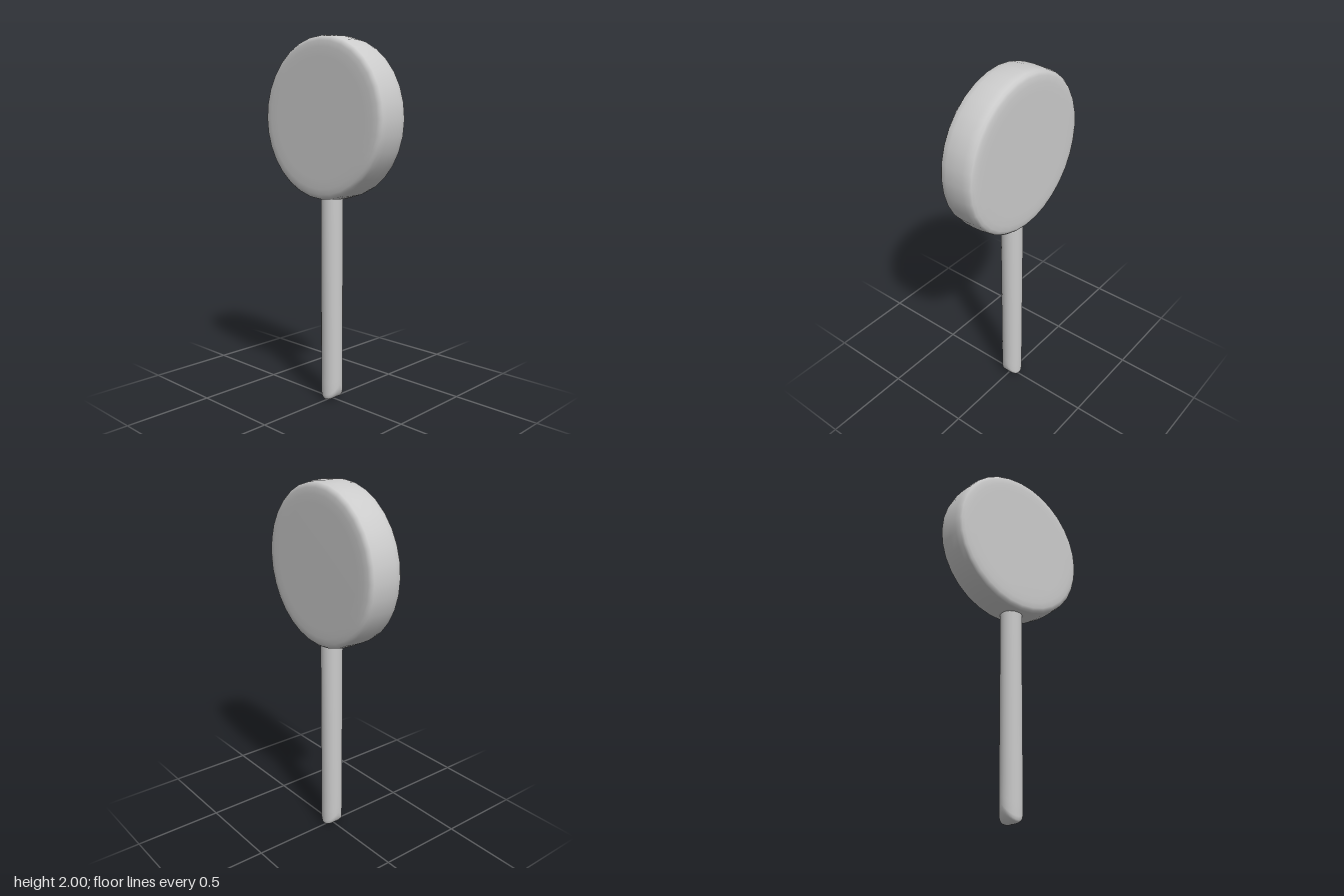
import * as THREE from 'three';
import { mergeVertices } from 'three/addons/utils/BufferGeometryUtils.js';

const material = new THREE.MeshStandardMaterial({ color: 0xcccccc });

const lathe = (points, segments) =>
  new THREE.LatheGeometry(points.map(([r, y]) => new THREE.Vector2(r, y)), segments);

// Round head: a thick disc with softened rims, facing front and back
function makeHead() {
  const half = [[0, 0.103], [0.32, 0.103], [0.37, 0.102], [0.4, 0.099], [0.415, 0.093], [0.425, 0.082], [0.43, 0.05]];
  const profile = [
    ...half.map(([r, y]) => [r, -y]),
    [0.432, 0],
    ...half.slice().reverse(),
  ];
  const geometry = lathe(profile, 32).rotateX(Math.PI / 2);
  const head = new THREE.Mesh(geometry, material);
  head.name = 'discHead';
  head.position.y = 1.568;
  return head;
}

// Stick: a round rod whose lower end is rounded across x but straight along z
function makeStick() {
  const radius = 0.06, bottom = 0.005;
  const profile = [
    [0, bottom], [0.02, bottom], [0.04, bottom + 0.002], [0.052, bottom + 0.006], [0.058, bottom + 0.014],
    [radius, bottom + 0.03], [radius, 0.1], [radius, 0.2], [radius, 0.6], [radius, 1.2],
  ];
  const shaped = lathe(profile, 24);
  const p = shaped.attributes.position;
  for (let i = 0; i < p.count; i++) {
    const t = Math.min(1, Math.abs(p.getX(i)) / radius);
    const fade = Math.max(0, 1 - p.getY(i) / 0.2);
    p.setY(i, p.getY(i) + 0.075 * (1 - Math.sqrt(1 - t * t)) * fade);
  }
  shaped.deleteAttribute('normal');
  shaped.deleteAttribute('uv');
  const geometry = mergeVertices(shaped, 1e-5);
  geometry.computeVertexNormals();
  const stick = new THREE.Mesh(geometry, material);
  stick.name = 'stick';
  return stick;
}

export function createModel() {
  const model = new THREE.Group();
  model.name = 'discOnStick';
  model.add(makeHead(), makeStick());
  return model;
}
